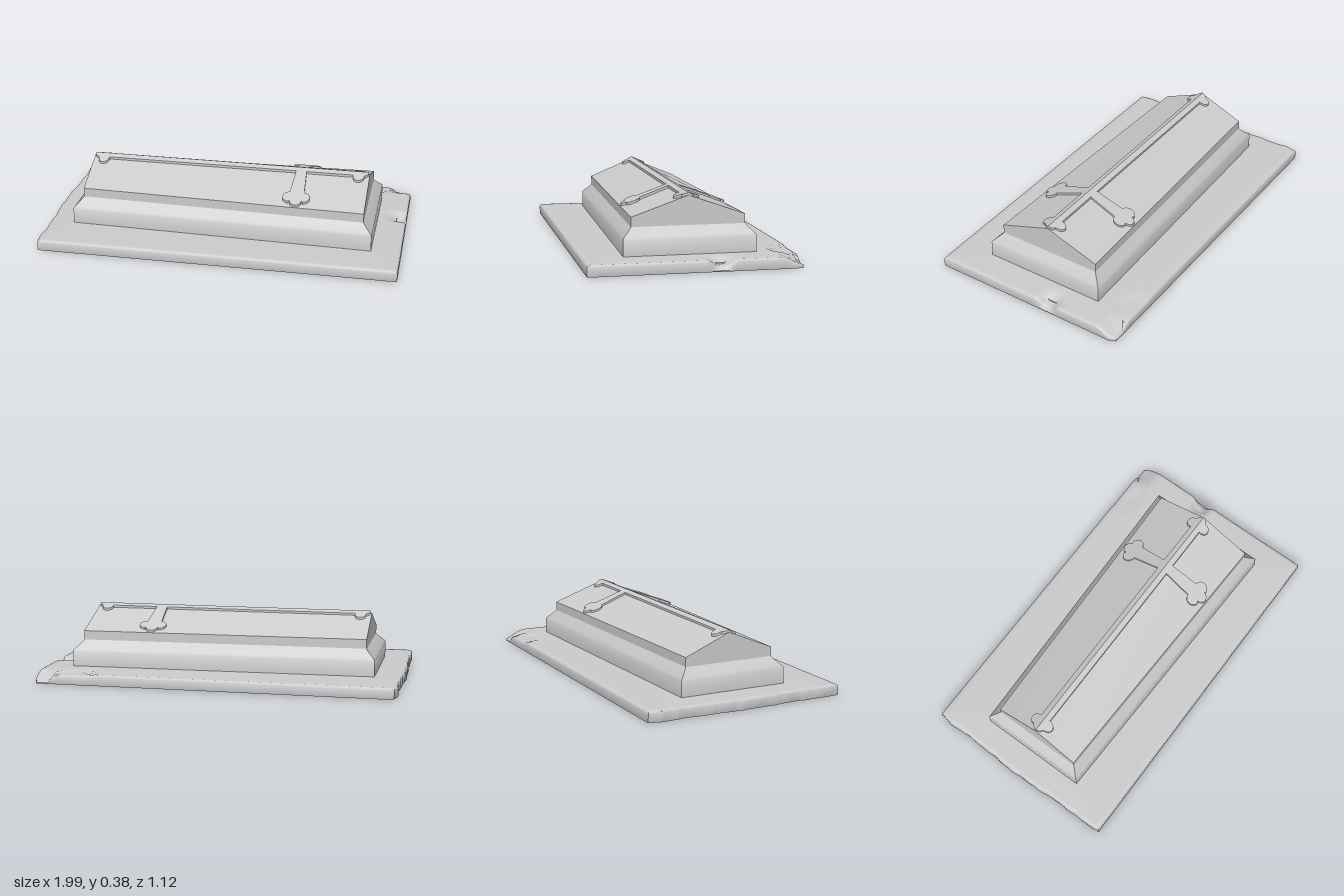
import * as THREE from 'three';
import { toCreasedNormals } from 'three/addons/utils/BufferGeometryUtils.js';

const stone = new THREE.MeshStandardMaterial({ color: 0xcccccc, side: THREE.DoubleSide });

const RIDGE = 0.362, EAVE = 0.257, SLAB_TOP = 0.064;
const lerp = THREE.MathUtils.lerp;
const smooth = THREE.MathUtils.smoothstep;

// Half width of the tapered chest at x: narrow at the foot (-x), wide at the head (+x)
const halfWidth = x => lerp(0.305, 0.35, (x + 0.84) / 1.68);
const roofY = (x, z) => lerp(RIDGE, EAVE, Math.abs(z) / (halfWidth(x) - 0.05));

// Closed rings of points joined into a skin, from the lowest ring to the last
function loft(rings, crease) {
  const n = rings[0].length, index = [];
  for (let r = 0; r < rings.length - 1; r++) {
    for (let i = 0; i < n; i++) {
      const a = r * n + i, b = r * n + (i + 1) % n;
      index.push(a, b, b + n, a, b + n, a + n);
    }
  }
  const geo = new THREE.BufferGeometry();
  geo.setAttribute('position', new THREE.Float32BufferAttribute(rings.flat(2), 3));
  geo.setIndex(index);
  return toCreasedNormals(geo, crease);
}

// Four corners of the chest, moved inward by inset
function chestCorners(inset) {
  const zl = halfWidth(-0.84) - inset, zr = halfWidth(0.84) - inset, x = 0.84 - inset;
  return [[-x, zl], [x, zr], [x, -zr], [-x, -zl]];
}

// Corner loop subdivided into steps per side
function subdivide(corners, steps) {
  const out = [];
  corners.forEach((c, k) => {
    const d = corners[(k + 1) % 4];
    for (let i = 0; i < steps; i++) out.push([lerp(c[0], d[0], i / steps), lerp(c[1], d[1], i / steps)]);
  });
  return out;
}

// Weathering of the slab: uneven foot end, chipped corner and notch at the head end
function weather([x, y, z], edge) {
  const wave = Math.sin(z * 9 - 1.5) * 0.6 + Math.sin(z * 31 + y * 30) * 0.25 + Math.sin(z * 67) * 0.15;
  const worn = 0.016 + 0.01 * wave + 0.014 * smooth(Math.abs(z), 0.48, 0.56);
  let px = x < -0.9 ? x + edge * worn : x;
  let py = y;
  if (y > 0.03) {
    // broken corner and the shallow scoop beside it
    py -= 0.042 * smooth(-z, 0.44, 0.56) * smooth(x, 0.87, 0.93);
    const scoop = Math.hypot((x - 0.78) / 0.13, (z + 0.56) / 0.13);
    py -= 0.008 * (1 - smooth(scoop, 0.8, 1));
    // notch in the edge
    const notch = 1 - smooth(Math.abs(z + 0.13), 0.01, 0.08);
    py -= 0.035 * notch * smooth(x, 0.87, 0.98);
    if (x > 0.95) px -= 0.015 * notch;
  }
  // rounded outer corner
  if (x > 0.9 && z < -0.5) px -= 0.015 * edge * smooth(-z, 0.52, 0.56);
  return [px, py, z];
}

// Slab as a shell, open underneath, with its top meeting the foot of the chest
function makeSlab() {
  const steps = 60;
  const outer = subdivide([[-1, 0.56], [1, 0.56], [1, -0.56], [-1, -0.56]], steps);
  const inner = subdivide(chestCorners(0), steps);
  const ring = (inset, y, t) => outer.map(([ox, oz], i) => {
    const x = ox * (1 - inset), z = oz * (1 - inset / 0.56);
    return weather([lerp(x, inner[i][0], t), y, lerp(z, inner[i][1], t)], 1 - t);
  });
  const rings = [ring(0.002, 0, 0), ring(0, 0.006, 0), ring(0, 0.048, 0), ring(0.004, 0.056, 0)];
  for (let k = 0; k <= 10; k++) rings.push(ring(0.012, lerp(0.06, SLAB_TOP, k / 10), k / 10));
  return new THREE.Mesh(loft(rings, 0.7), stone);
}

// Hollow chest: plinth wall, sloped shoulder, upper wall, gabled roof
function makeChest() {
  const profile = [
    [0, SLAB_TOP], [0, 0.15], [0.004, 0.158], [0.045, 0.199], [0.05, 0.207], [0.05, EAVE],
  ];
  const rings = profile.map(([inset, y]) => chestCorners(inset).map(([x, z]) => [x, y, z]));
  rings.push(chestCorners(0.05).map(([x]) => [x, RIDGE, 0]));
  return new THREE.Mesh(loft(rings, 0.5), stone);
}

// Half of the raised trefoil cross, draped over one roof slope
function crossHalfGeometry() {
  const P = Math.PI, s = new THREE.Shape();
  s.moveTo(-0.785, 0);
  s.lineTo(0.785, 0);
  s.absarc(0.752, 0, 0.033, 0, 1.2);
  s.absarc(0.73, 0.038, 0.03, 0, P);
  s.lineTo(0.70, 0.03);
  s.lineTo(0.44, 0.03);
  s.absarc(0.45, 0.225, 0.035, -P / 2, P / 2);
  s.absarc(0.41, 0.253, 0.032, 0, P);
  s.absarc(0.37, 0.225, 0.035, P / 2, 1.5 * P);
  s.lineTo(0.38, 0.03);
  s.lineTo(-0.70, 0.03);
  s.absarc(-0.73, 0.038, 0.03, 0, P);
  s.absarc(-0.752, 0, 0.033, P - 1.2, P);
  const geo = new THREE.ExtrudeGeometry(s, { depth: 0.014, bevelEnabled: false, curveSegments: 10 });
  const p = geo.attributes.position;
  for (let i = 0; i < p.count; i++) {
    const x = p.getX(i), v = p.getY(i), h = p.getZ(i);
    p.setXYZ(i, x, roofY(x, v) - 0.001 + h, -v);
  }
  return toCreasedNormals(geo, 0.6);
}

export function createModel() {
  const model = new THREE.Group();
  model.name = 'tomb';

  const slab = makeSlab();
  slab.name = 'baseSlab';
  const chest = makeChest();
  chest.name = 'chest';

  const cross = new THREE.Group();
  cross.name = 'raisedCross';
  const half = crossHalfGeometry();
  for (const side of [1, -1]) {
    const mesh = new THREE.Mesh(half, stone);
    mesh.name = side > 0 ? 'crossBackHalf' : 'crossFrontHalf';
    mesh.scale.z = side;
    cross.add(mesh);
  }

  model.add(slab, chest, cross);
  return model;
}
